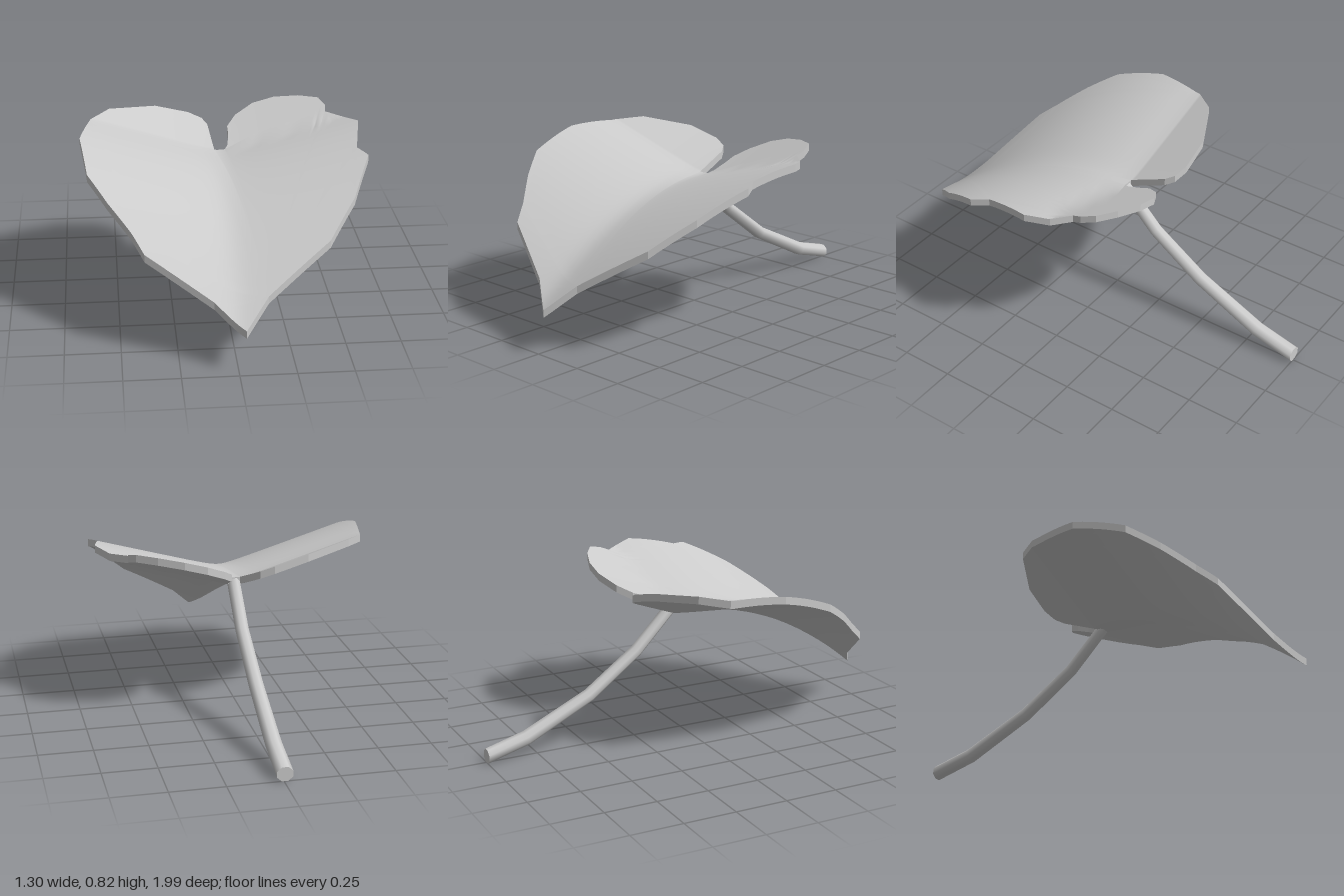
import * as THREE from 'three';
import { mergeVertices } from 'three/addons/utils/BufferGeometryUtils.js';

const THICKNESS = 0.035;

// Leaf outline seen from above as (x, z), from the tip round the left side
const OUTLINE = [
  [0.03, 0.99], [0.135, 0.885], [0.42, 0.735], [0.55, 0.57], [0.645, 0.35], [0.605, 0.275],
  [0.65, 0.04], [0.595, -0.06], [0.52, -0.13], [0.525, -0.175], [0.5, -0.24], [0.41, -0.295],
  [0.295, -0.335], [0.19, -0.335], [0.1, -0.285], [0.055, -0.22], [0.055, -0.16], [0.045, -0.09],
  [0.03, -0.065], [-0.02, -0.065], [-0.03, -0.15], [-0.04, -0.24], [-0.065, -0.28], [-0.13, -0.3],
  [-0.29, -0.285], [-0.515, -0.175], [-0.605, -0.065], [-0.655, 0.185], [-0.625, 0.44],
  [-0.54, 0.57], [-0.44, 0.69], [-0.39, 0.77], [-0.1, 0.895],
].map(([x, z]) => new THREE.Vector2(x, z));

// Height of the blade: drooping tip, raised sides, raised back lobes
function bladeHeight(x, z) {
  const droop = 0.43 * Math.max(z, 0) ** 2;
  const fold = (x > 0 ? 0.28 : 0.31) * (Math.hypot(x, 0.05) - 0.05);
  const lobes = 0.36 * Math.max(-z - 0.06, 0);
  return 0.63 - droop + fold + lobes;
}

function geometryFrom(positions) {
  const g = new THREE.BufferGeometry();
  g.setAttribute('position', new THREE.Float32BufferAttribute(positions, 3));
  const merged = mergeVertices(g, 1e-5);
  merged.computeVertexNormals();
  return merged;
}

// Fill the outline and split each triangle in four, several times over
function bladeTriangles(levels) {
  let tris = THREE.ShapeUtils.triangulateShape(OUTLINE, []).map((f) => f.map((i) => OUTLINE[i]));
  const mid = (a, b) => a.clone().add(b).multiplyScalar(0.5);
  for (let l = 0; l < levels; l++) {
    tris = tris.flatMap(([a, b, c]) => {
      const ab = mid(a, b), bc = mid(b, c), ca = mid(c, a);
      return [[a, ab, ca], [ab, b, bc], [ca, bc, c], [ab, bc, ca]];
    });
  }
  // wind every triangle so that it faces up
  return tris.map(([a, b, c]) =>
    (b.y - a.y) * (c.x - a.x) - (b.x - a.x) * (c.y - a.y) > 0 ? [a, b, c] : [a, c, b]);
}

function bladeSurface(tris, drop, flip) {
  const pos = [];
  for (const t of tris) {
    for (const p of flip ? [t[0], t[2], t[1]] : t) pos.push(p.x, bladeHeight(p.x, p.y) - drop, p.y);
  }
  return geometryFrom(pos);
}

// Thin wall round the outline
function bladeRim(steps) {
  const pos = [];
  OUTLINE.forEach((a, i) => {
    const b = OUTLINE[(i + 1) % OUTLINE.length];
    for (let s = 0; s < steps; s++) {
      const p = a.clone().lerp(b, s / steps), q = a.clone().lerp(b, (s + 1) / steps);
      const py = bladeHeight(p.x, p.y), qy = bladeHeight(q.x, q.y);
      const P = [p.x, py, p.y], Q = [q.x, qy, q.y];
      const p2 = [p.x, py - THICKNESS, p.y], q2 = [q.x, qy - THICKNESS, q.y];
      pos.push(...p2, ...q2, ...Q, ...p2, ...Q, ...P);
    }
  });
  const g = new THREE.BufferGeometry();
  g.setAttribute('position', new THREE.Float32BufferAttribute(pos, 3));
  g.computeVertexNormals();
  return g;
}

// Stalk: rings of eight sides along a bent path, the end cut upright
function stalkGeometry() {
  const path = [ // x, y, z, radius, tilt of the ring
    [0.01, 0.61, -0.05, 0.028, 0.8], [0.008, 0.425, -0.23, 0.029, 0.72],
    [0.0, 0.245, -0.48, 0.031, 0.55], [-0.003, 0.09, -0.8, 0.034, 0.37],
    [-0.005, 0.035, -1, 0.035, 0],
  ];
  const sides = 8, pos = [], index = [];
  path.forEach(([x, y, z, r, tilt]) => {
    for (let j = 0; j < sides; j++) {
      const a = ((j + 0.5) / sides) * Math.PI * 2;
      const up = Math.sin(a) * r;
      pos.push(x + Math.cos(a) * r * 1.1, y + up * Math.cos(tilt), z - up * Math.sin(tilt));
    }
  });
  for (let i = 0; i < path.length - 1; i++) {
    for (let j = 0; j < sides; j++) {
      const k = (j + 1) % sides;
      const a = i * sides + j, b = i * sides + k, c = a + sides, d = b + sides;
      index.push(a, c, b, b, c, d);
    }
  }
  const g = new THREE.BufferGeometry();
  g.setAttribute('position', new THREE.Float32BufferAttribute(pos, 3));
  g.setIndex(index);
  g.computeVertexNormals();
  return g;
}

export function createModel() {
  const group = new THREE.Group();
  group.name = 'leaf';
  const material = new THREE.MeshStandardMaterial({ color: 0xcccccc });
  const thin = new THREE.MeshStandardMaterial({ color: 0xcccccc, side: THREE.DoubleSide });
  const add = (name, geometry, mat = material) => {
    const mesh = new THREE.Mesh(geometry, mat);
    mesh.name = name;
    group.add(mesh);
    return mesh;
  };

  // blade
  const tris = bladeTriangles(4);
  add('bladeTop', bladeSurface(tris, 0, false));
  add('bladeUnderside', bladeSurface(tris, THICKNESS, true));
  add('bladeRim', bladeRim(16), thin);

  // stalk and its cut end
  add('stalk', stalkGeometry(), thin);
  const end = add('stalkEnd', new THREE.CircleGeometry(0.035, 8, Math.PI / 8));
  end.scale.x = 1.1;
  end.rotation.y = Math.PI;
  end.position.set(-0.005, 0.035, -1);

  return group;
}
